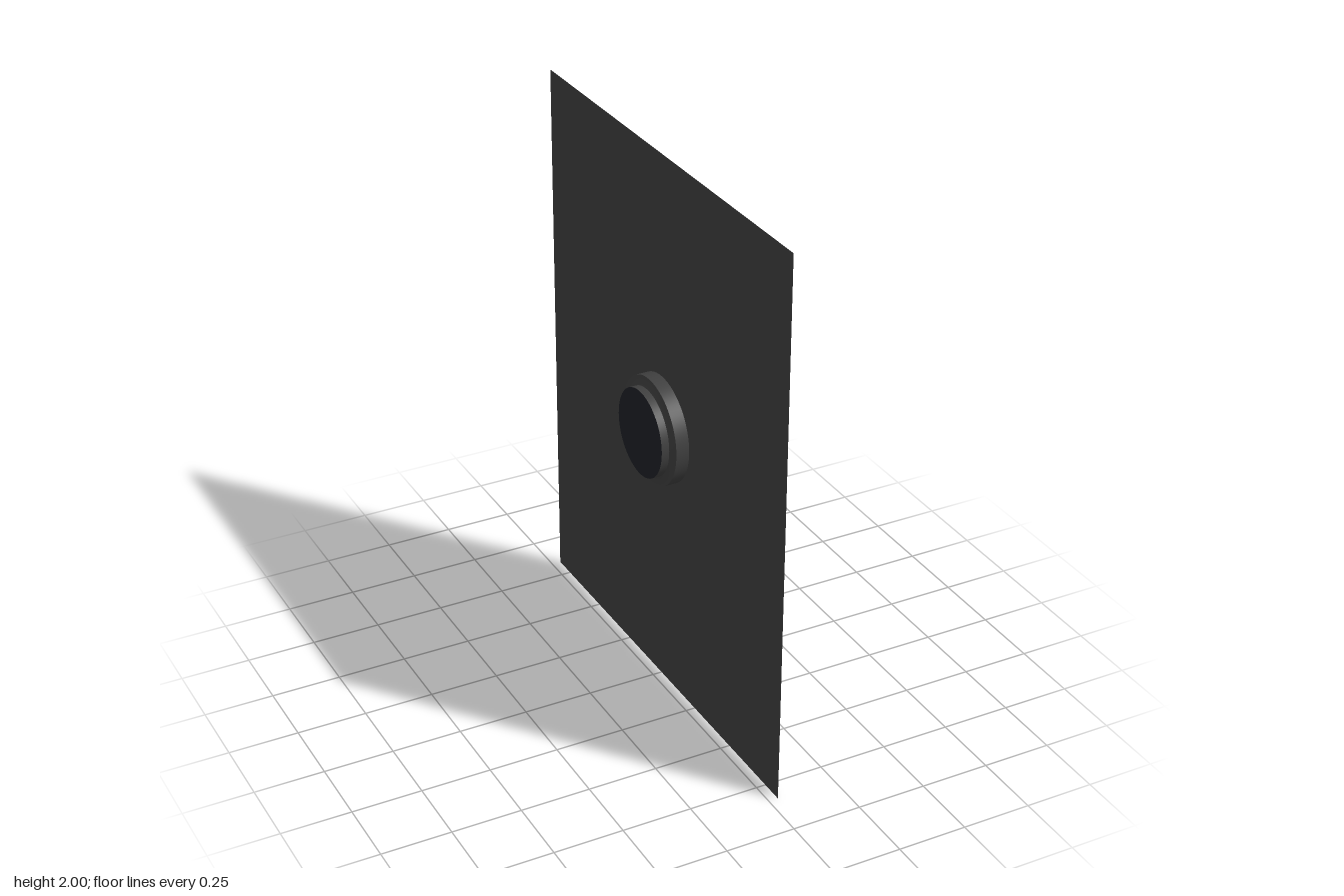
import * as THREE from 'three';
import { toCreasedNormals } from 'three/addons/utils/BufferGeometryUtils.js';

const SHEET_X = 0.034;   // plane of the panel
const HUB_R = 0.195;     // radius of the hole and of the cup rim

export function createModel() {
  const model = new THREE.Group();
  const panelMat = new THREE.MeshStandardMaterial({ color: 0x404040, side: THREE.DoubleSide });
  const floorMat = new THREE.MeshStandardMaterial({ color: 0x1f2026, side: THREE.DoubleSide });

  const add = (name, geometry, material, parent) => {
    const mesh = new THREE.Mesh(geometry, material);
    mesh.name = name;
    parent.add(mesh);
    return mesh;
  };

  // Everything is built facing +z, then turned to face +x
  const assembly = new THREE.Group();
  assembly.name = 'panelAssembly';
  assembly.position.y = 1;
  assembly.rotation.y = Math.PI / 2;
  model.add(assembly);

  // Thin flat panel with a round hole
  const sheet = new THREE.Shape();
  sheet.moveTo(-0.835, -1).lineTo(0.835, -1).lineTo(0.835, 1).lineTo(-0.835, 1).closePath();
  const hole = new THREE.Path();
  hole.absarc(0, 0, HUB_R, 0, Math.PI * 2, true);
  sheet.holes.push(hole);
  add('panel', new THREE.ShapeGeometry(sheet, 32), panelMat, assembly).position.z = SHEET_X;

  // Stepped cup sunk behind the panel, open towards its face
  const profile = [
    [0.159, -0.05], [0.159, -0.022], [0.172, -0.016], [HUB_R, -0.014], [HUB_R, SHEET_X],
  ].map(([r, d]) => new THREE.Vector2(r, d));
  const cup = toCreasedNormals(new THREE.LatheGeometry(profile, 64), 0.4);
  cup.rotateX(Math.PI / 2);
  add('cupWall', cup, panelMat, assembly);

  // Dark floor of the cup
  add('cupFloor', new THREE.CircleGeometry(0.159, 64), floorMat, assembly).position.z = -0.05;

  // Four flared raised arms around the rim
  const arm = new THREE.Shape();
  arm.moveTo(-0.02, HUB_R).lineTo(0.02, HUB_R).lineTo(0.028, 0.36).lineTo(-0.028, 0.36).closePath();
  const armGeometry = new THREE.ExtrudeGeometry(arm, { depth: 0.016, bevelEnabled: false });
  for (let i = 0; i < 4; i++) {
    const mesh = add('arm' + (i + 1), armGeometry, panelMat, assembly);
    mesh.position.z = SHEET_X;
    mesh.rotation.z = i * Math.PI / 2;
  }

  return model;
}
